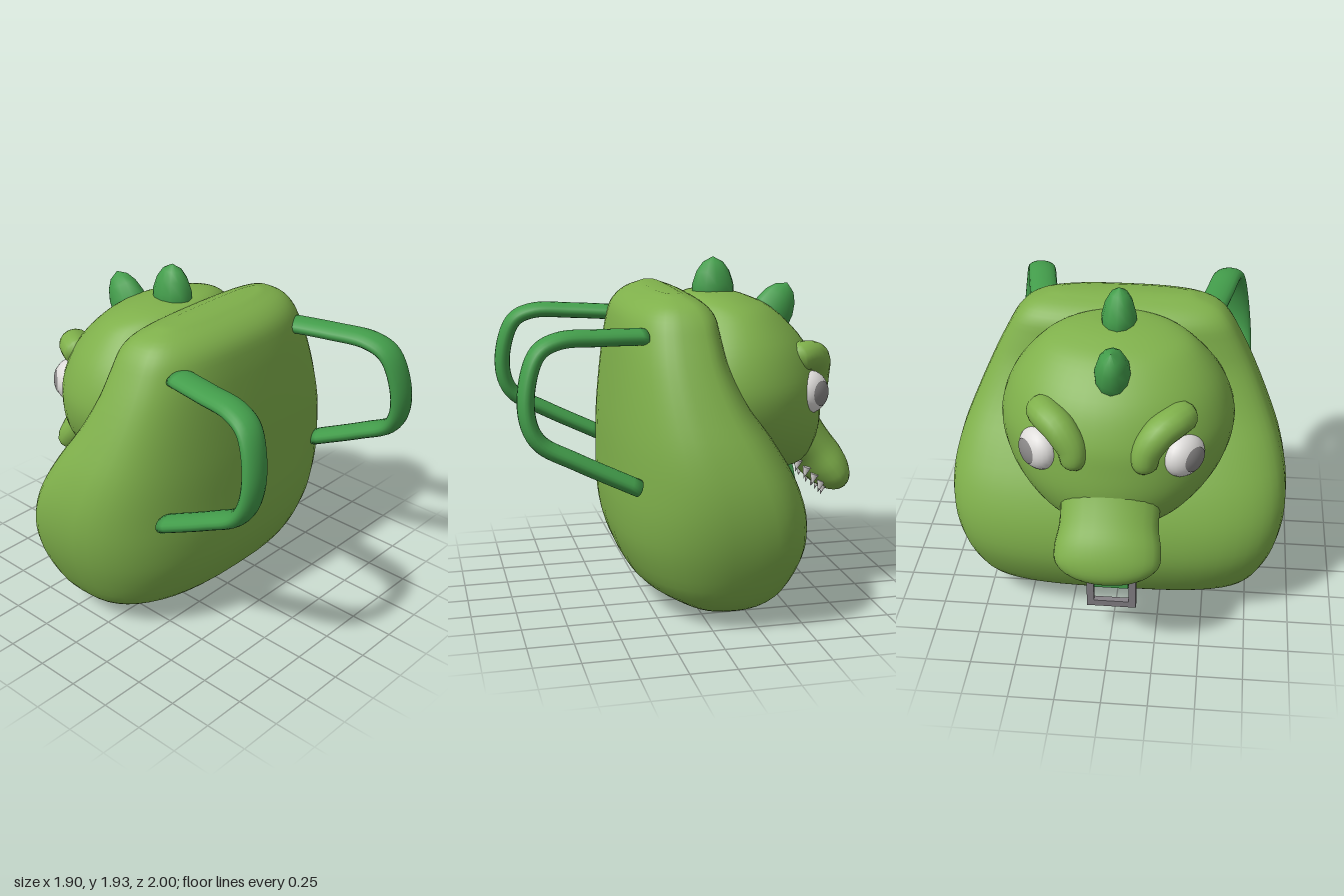
import * as THREE from 'three';

const mat = (name, color) => Object.assign(new THREE.MeshStandardMaterial({ color }), { name });
const V = (x, y, z) => new THREE.Vector3(x, y, z);

// Closed skin over a list of equal rings, with a centre point closing each end
function loft(rings) {
  const n = rings[0].length, pos = [], idx = [];
  rings.forEach(r => r.forEach(p => pos.push(p.x, p.y, p.z)));
  for (let i = 0; i < rings.length - 1; i++) {
    for (let j = 0; j < n; j++) {
      const a = i * n + j, b = i * n + (j + 1) % n;
      idx.push(a, a + n, b, b, a + n, b + n);
    }
  }
  [0, rings.length - 1].forEach((i, end) => {
    const c = rings[i].reduce((s, p) => s.add(p), V(0, 0, 0)).divideScalar(n);
    const k = pos.length / 3;
    pos.push(c.x, c.y, c.z);
    for (let j = 0; j < n; j++) {
      const a = i * n + j, b = i * n + (j + 1) % n;
      idx.push(k, ...(end ? [b, a] : [a, b]));
    }
  });
  const g = new THREE.BufferGeometry();
  g.setAttribute('position', new THREE.Float32BufferAttribute(pos, 3));
  g.setIndex(idx);
  g.computeVertexNormals();
  return g;
}

const spline = pts => new THREE.CatmullRomCurve3(pts, false, 'catmullrom', 0.5);

// Stack of horizontal superellipses; rows are [y, halfWidth, zMax, zMin], bottom first.
// Each slice is widest at fraction `mid` from zMax to zMin, with its own roundness on either side.
function stack(rows, mid, powerMax, powerMin, steps = 44, sides = 48) {
  const cw = spline(rows.map(r => V(r[1], r[0], 0)));
  const cz = spline(rows.map(r => V(r[2], r[0], r[3])));
  const bend = (v, power) => Math.sign(v) * Math.pow(Math.abs(v), 2 / power);
  const rings = [];
  for (let i = 0; i <= steps; i++) {
    const w = cw.getPoint(i / steps), z = cz.getPoint(i / steps);
    const zMid = z.x + (z.z - z.x) * mid;
    rings.push(Array.from({ length: sides }, (_, j) => {
      const a = j / sides * Math.PI * 2, s = Math.sin(a);
      const power = s > 0 ? powerMax : powerMin;
      const reach = s > 0 ? z.x - zMid : zMid - z.z;
      return V(Math.max(w.x, 0.005) * bend(Math.cos(a), power), w.y, zMid + reach * bend(s, power));
    }));
  }
  return loft(rings);
}

// Oval tube along a path; sizes are [halfWidth along side, halfThickness] per point
function sweep(points, sizes, side = V(1, 0, 0), steps = 28, sides = 18) {
  const path = spline(points), size = spline(sizes.map(s => V(s[0], s[1], 0)));
  const rings = [];
  for (let i = 0; i <= steps; i++) {
    const t = i / steps, p = path.getPoint(t), T = path.getTangent(t), s = size.getPoint(t);
    const X = side.clone().addScaledVector(T, -side.dot(T)).normalize();
    const N = X.clone().cross(T);
    rings.push(Array.from({ length: sides }, (_, j) => {
      const a = j / sides * Math.PI * 2;
      return p.clone().addScaledVector(X, s.x * Math.cos(a)).addScaledVector(N, s.y * Math.sin(a));
    }));
  }
  return loft(rings);
}

export function createModel() {
  const root = new THREE.Group();
  root.name = 'reptileBackpack';
  const skin = mat('leafGreen', 0x7fb04b);
  const trim = mat('deepGreen', 0x439d4b);
  const white = mat('offWhite', 0xdedcda);
  const grey = mat('pupilGrey', 0x8a8888);
  const metal = mat('buckleGrey', 0x858186);
  const add = (name, geo, m, parent = root) => {
    const mesh = new THREE.Mesh(geo, m);
    mesh.name = name;
    parent.add(mesh);
    return mesh;
  };

  // Bag
  add('bag', stack([
    [0.005, 0.3, -0.04, -0.15], [0.03, 0.54, 0.08, -0.26], [0.1, 0.71, 0.21, -0.39], [0.2, 0.81, 0.34, -0.5],
    [0.4, 0.9, 0.43, -0.59], [0.6, 0.945, 0.46, -0.59], [0.8, 0.945, 0.46, -0.52], [1.0, 0.9, 0.455, -0.4],
    [1.2, 0.82, 0.44, -0.265], [1.4, 0.73, 0.42, -0.17], [1.55, 0.655, 0.4, -0.135], [1.66, 0.59, 0.37, -0.11],
    [1.73, 0.51, 0.3, -0.04], [1.775, 0.36, 0.19, 0.07]], 0.62, 2.6, 3.1), skin);

  // Head and snout
  add('head', stack([
    [0.755, 0.22, -0.3, -0.66], [0.78, 0.33, -0.22, -0.72], [0.87, 0.46, 0.0, -0.77], [1.0, 0.57, 0.2, -0.8],
    [1.15, 0.63, 0.3, -0.795], [1.3, 0.63, 0.3, -0.77], [1.48, 0.56, 0.2, -0.68], [1.64, 0.43, 0.05, -0.52],
    [1.71, 0.31, 0.0, -0.38], [1.74, 0.17, -0.05, -0.27], [1.745, 0.03, -0.15, -0.19]], 0.5, 2, 2), skin);
  add('snout', sweep(
    [V(0, 1.06, -0.56), V(0, 0.93, -0.665), V(0, 0.82, -0.765), V(0, 0.72, -0.845), V(0, 0.64, -0.895), V(0, 0.575, -0.92), V(0, 0.55, -0.927)],
    [[0.28, 0.19], [0.27, 0.165], [0.265, 0.14], [0.285, 0.135], [0.27, 0.115], [0.17, 0.07], [0.03, 0.01]],
    V(1, 0, 0), 28, 24), skin);

  // Spikes on the crown
  [[1.72, -0.185, 0], [1.585, -0.525, -0.5]].forEach(([y, z, tilt], i) => {
    const profile = [[0.1, -0.08], [0.122, 0.0], [0.12, 0.06], [0.096, 0.13], [0.06, 0.18], [0, 0.212]];
    const spike = add('spike' + (i + 1),
      new THREE.LatheGeometry(profile.map(p => new THREE.Vector2(...p)), 12), trim);
    spike.scale.x = 0.78;
    spike.position.set(0, y, z);
    spike.rotation.x = tilt;
  });

  for (const s of [1, -1]) {
    const label = s > 0 ? 'left' : 'right';

    // Shoulder strap
    add(label + 'ShoulderStrap', sweep(
      [V(0.47 * s, 1.57, 0.31), V(0.52 * s, 1.58, 0.55), V(0.56 * s, 1.58, 0.77), V(0.59 * s, 1.5, 0.9),
        V(0.625 * s, 1.27, 0.955), V(0.645 * s, 1.08, 0.9), V(0.65 * s, 0.96, 0.7), V(0.65 * s, 0.8, 0.38)],
      Array(8).fill([0.082, 0.045]), V(1, 0, 0), 48), trim);

    // Eye with pupil
    const eye = new THREE.Group();
    eye.name = label + 'Eye';
    eye.position.set(0.38 * s, 1.21, -0.64);
    eye.lookAt(eye.position.clone().add(V(0.77 * s, 0.03, -0.62)));
    root.add(eye);
    add('eyeball', new THREE.SphereGeometry(1, 24, 16), white, eye).scale.set(0.13, 0.12, 0.095);
    const cap = new THREE.SphereGeometry(1.03, 24, 6, 0, Math.PI * 2, 0, 0.6).rotateX(Math.PI / 2);
    add('pupil', cap, grey, eye).scale.set(0.13, 0.12, 0.095);

    // Brow arching over the eye
    add(label + 'Brow', sweep(
      [V(0.375 * s, 1.395, -0.545), V(0.37 * s, 1.4, -0.56), V(0.33 * s, 1.405, -0.64), V(0.255 * s, 1.37, -0.71),
        V(0.195 * s, 1.28, -0.745), V(0.185 * s, 1.19, -0.75), V(0.185 * s, 1.15, -0.75)],
      [[0.03, 0.03], [0.085, 0.08], [0.095, 0.085], [0.09, 0.085], [0.075, 0.08], [0.06, 0.065], [0.01, 0.01]],
      V(0.55 * s, 0.3, -0.75), 24, 16), skin);
  }

  // Teeth round the upper jaw
  const gum = spline([V(0.2, 0.75, -0.64), V(0.2, 0.67, -0.73), V(0.16, 0.59, -0.81), V(0, 0.575, -0.83),
    V(-0.16, 0.59, -0.81), V(-0.2, 0.67, -0.73), V(-0.2, 0.75, -0.64)]);
  for (let i = 0; i < 13; i++) {
    const tooth = add('tooth' + (i + 1), new THREE.ConeGeometry(0.026, 0.07, 8), white);
    tooth.position.copy(gum.getPointAt(i / 12));
    tooth.position.y -= 0.012;
    tooth.rotation.x = Math.PI - 0.25;
  }

  // Tongue strap: curved side profile, extruded across
  const side = new THREE.Shape();
  side.moveTo(0.55, 0.82);
  side.quadraticCurveTo(0.63, 0.62, 0.63, 0.33);
  side.lineTo(0.685, 0.33);
  side.quadraticCurveTo(0.69, 0.62, 0.62, 0.82);
  side.closePath();
  const tongue = new THREE.ExtrudeGeometry(side, { depth: 0.19, bevelEnabled: false, curveSegments: 10 });
  add('tongueStrap', tongue.rotateY(Math.PI / 2).translate(-0.095, 0, 0), trim);

  // Buckle frame
  const buckle = new THREE.Group();
  buckle.name = 'buckle';
  buckle.position.set(0, 0.29, -0.653);
  buckle.rotation.x = -0.07;
  root.add(buckle);
  for (const s of [1, -1]) {
    add('buckleArm', new THREE.BoxGeometry(0.04, 0.22, 0.035), metal, buckle).position.set(0.118 * s, 0, 0);
  }
  add('buckleBar', new THREE.BoxGeometry(0.2, 0.04, 0.035), metal, buckle).position.set(0, -0.09, 0);

  return root;
}
